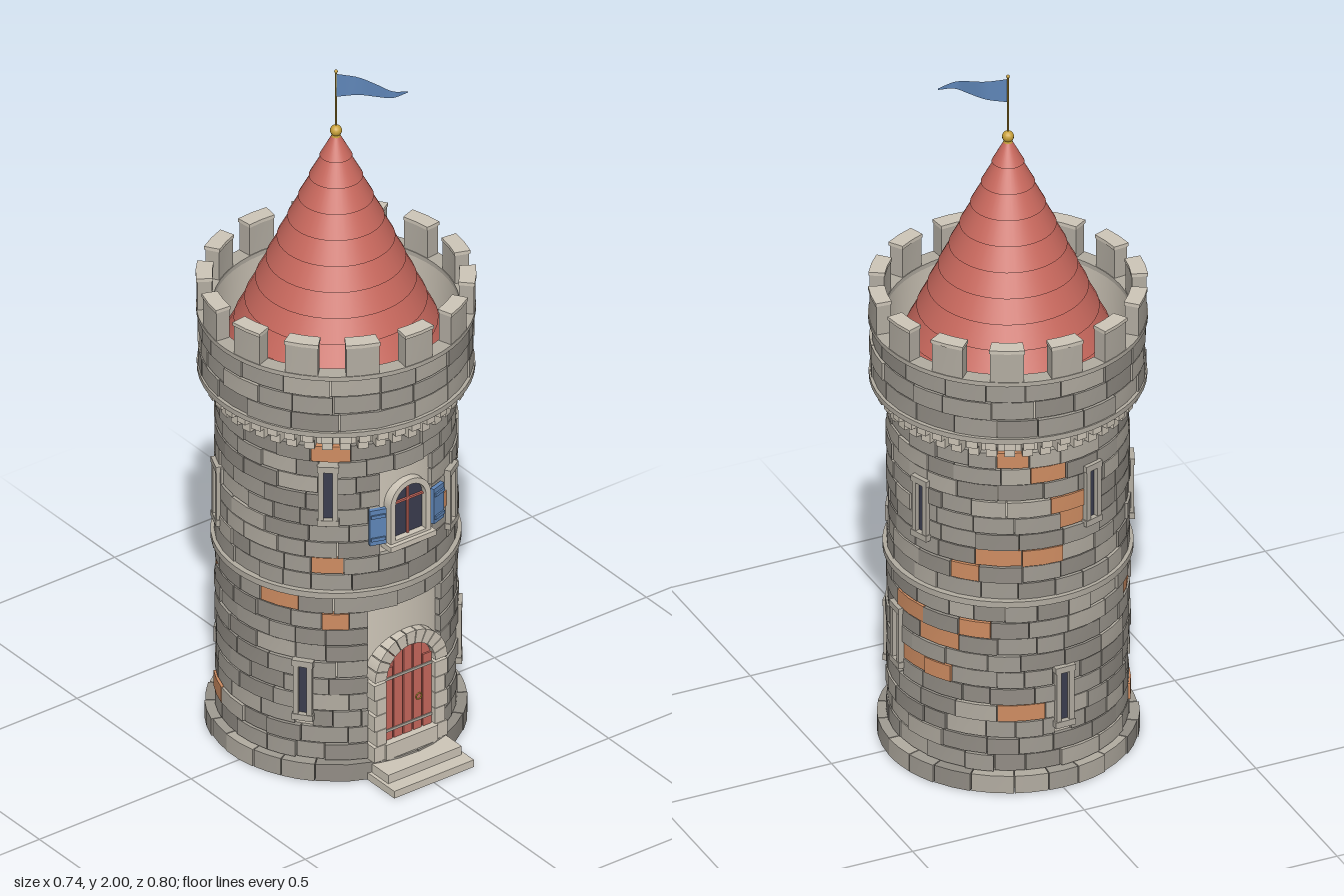
import * as THREE from 'three';
import { mergeGeometries } from 'three/addons/utils/BufferGeometryUtils.js';

const mat = (name, color, side = THREE.FrontSide) => {
  const m = new THREE.MeshStandardMaterial({ color, side });
  m.name = name;
  return m;
};

// Small seeded random generator
let seed = 7;
const rnd = (a = 0, b = 1) => {
  seed = (seed * 16807) % 2147483647;
  return a + (b - a) * (seed / 2147483647);
};

// Box bent around the tower axis: radii r0..r1, angles a0..a1 (0 = front), heights y0..y1
function arcBlock(r0, r1, a0, a1, y0, y1, segs = 2) {
  const g = new THREE.BoxGeometry(1, 1, 1, segs, 1, 1);
  const p = g.attributes.position;
  for (let i = 0; i < p.count; i++) {
    const a = a0 + (p.getX(i) + 0.5) * (a1 - a0);
    const r = p.getZ(i) > 0 ? r1 : r0;
    p.setXYZ(i, r * Math.sin(a), y0 + (p.getY(i) + 0.5) * (y1 - y0), r * Math.cos(a));
  }
  g.computeVertexNormals();
  return g;
}
const ring = (r0, r1, y0, y1) => arcBlock(r0, r1, 0, Math.PI * 2, y0, y1, 56);

// Arched outline, open at the bottom corners
function archShape(w, y0, spring, Type = THREE.Shape) {
  const s = new Type();
  s.moveTo(-w, y0);
  s.lineTo(w, y0);
  s.lineTo(w, spring);
  s.absarc(0, spring, w, 0, Math.PI, false);
  s.lineTo(-w, y0);
  return s;
}
const extrude = (shape, depth) => new THREE.ExtrudeGeometry(shape, { depth, bevelEnabled: false, curveSegments: 14 });

export function createModel() {
  seed = 7;
  const M = {
    stone: mat('stone', 0xa19c93),
    stoneDark: mat('dark stone', 0x928d85),
    stoneLight: mat('light stone', 0xb2aca1),
    trim: mat('pale trim', 0xcec6b8, THREE.DoubleSide),
    brick: mat('orange brick', 0xcf8d62),
    red: mat('red', 0xc8685d),
    blue: mat('blue', 0x5f86b8, THREE.DoubleSide),
    dark: mat('dark glass', 0x3b3d4f),
    gold: mat('gold', 0xc9a23a),
  };
  const model = new THREE.Group();
  const tower = new THREE.Group();
  tower.name = 'tower';
  tower.position.z = -0.03;
  model.add(tower);
  const add = (name, geo, m, parent = tower) => {
    const mesh = new THREE.Mesh(geo, m);
    mesh.name = name;
    parent.add(mesh);
    return mesh;
  };
  const box = (name, w, h, d, x, y, z, m, parent) => {
    const b = add(name, new THREE.BoxGeometry(w, h, d), m, parent);
    b.position.set(x, y, z);
    return b;
  };
  const rad = THREE.MathUtils.degToRad;

  // Hollow wall core, open at the bottom
  add('wallCore', new THREE.CylinderGeometry(0.306, 0.306, 1.06, 56, 1, true).translate(0, 0.53, 0), M.trim);

  // Narrow windows: [angle in degrees, centre height]
  const slits = [[-40.6, 0.88], [32.7, 0.75], [-52.5, 0.27], [51.5, 0.27], [90, 0.37],
    [109.5, 0.81], [198, 0.86], [247, 0.74], [182, 0.27]];
  // Areas kept free of stones: angle, half angle, bottom, top
  const gaps = [[0, 0.375, 0, 0.49], [0, 0.27, 0.69, 0.95],
    ...slits.map(([a, y]) => [rad(a), 0.075, y - 0.09, y + 0.09])];
  // Places where a brick shows among the stones
  const bricks = [[104, 0.46], [105, 0.34], [126, 0.41], [122, 0.33], [150, 0.24], [136, 0.66], [160, 0.99],
    [-49, 0.66], [-33, 0.465], [-57, 0.52], [172, 0.95], [172, 0.71], [187, 0.78], [229, 0.5], [248, 0.13],
    [143, 0.71], [134, 0.46], [186, 0.87], [19, 0.77], [-35, 1.0]];

  // Courses of stones, sorted by colour
  const stones = { stone: [], stoneDark: [], stoneLight: [], brick: [] };
  function course(y0, y1, r0, r1, wMin, wMax, cut) {
    const mid = (y0 + y1) / 2, start = rnd(-0.3, 0), end = start + Math.PI * 2;
    let a = start;
    while (a < end - 0.001) {
      let b = a + rnd(wMin, wMax) / r1;
      if (end - b < wMin / r1) b = end;
      let pieces = [[a, b]];
      if (cut) for (const [c, h, lo, hi] of gaps) {
        if (mid < lo || mid > hi) continue;
        for (const k of [-1, 0, 1]) {
          const g0 = c - h + k * Math.PI * 2, g1 = c + h + k * Math.PI * 2;
          pieces = pieces.flatMap(([p, q]) => (q <= g0 || p >= g1 ? [[p, q]] : [[p, g0], [g1, q]].filter(([s, t]) => t > s)));
        }
      }
      const isBrick = cut && bricks.some(([d, y]) => y >= y0 && y < y1
        && [0, 1].some((k) => rad(d) + k * Math.PI * 2 >= a && rad(d) + k * Math.PI * 2 < b));
      const pick = rnd();
      const key = isBrick ? 'brick' : pick < 0.55 ? 'stone' : pick < 0.82 ? 'stoneDark' : 'stoneLight';
      const out = r1 + rnd(-0.004, 0.004);
      for (const [p, q] of pieces) {
        if (q - p > 0.02) stones[key].push(arcBlock(r0, out, p + 0.004, q - 0.004, y0 + 0.0015, y1 - 0.0015));
      }
      a = b;
    }
  }
  course(0, 0.055, 0.305, 0.344, 0.08, 0.12, false);
  for (let i = 0; i < 10; i++) course(0.055 + i * 0.0505, 0.055 + (i + 1) * 0.0505, 0.303, 0.32, 0.07, 0.13, true);
  for (let i = 0; i < 9; i++) course(0.58 + i * 0.05, 0.58 + (i + 1) * 0.05, 0.303, 0.32, 0.07, 0.13, true);
  for (let i = 0; i < 3; i++) course(1.1 + i * 0.054, 1.1 + (i + 1) * 0.054, 0.335, 0.362, 0.09, 0.14, false);
  for (const key in stones) add(key + 'Blocks', mergeGeometries(stones[key]), M[key]);

  // Horizontal bands
  add('middleBand', ring(0.304, 0.331, 0.562, 0.58), M.stoneLight);
  add('corbelBand', ring(0.304, 0.367, 1.085, 1.1), M.stoneLight);
  add('parapetCore', ring(0.326, 0.354, 1.09, 1.262), M.trim);
  add('parapetCap', ring(0.326, 0.369, 1.262, 1.275), M.stoneLight);

  // Stepped corbels under the parapet
  const corbels = [];
  for (let i = 0; i < 44; i++) {
    const a = (i / 44) * Math.PI * 2, h = 0.042;
    corbels.push(arcBlock(0.3, 0.336, a - h, a + h, 1.028, 1.058, 1), arcBlock(0.3, 0.354, a - h, a + h, 1.058, 1.085, 1));
  }
  add('corbels', mergeGeometries(corbels), M.trim);

  // Battlements
  const merlons = [], caps = [];
  for (let i = 0; i < 14; i++) {
    const a = (i / 14) * Math.PI * 2;
    merlons.push(arcBlock(0.328, 0.367, a - 0.122, a + 0.122, 1.275, 1.362));
    caps.push(arcBlock(0.326, 0.37, a - 0.127, a + 0.127, 1.362, 1.372));
  }
  add('merlons', mergeGeometries(merlons), M.stoneLight);
  add('merlonCaps', mergeGeometries(caps), M.trim);

  // Roof of overlapping conical rows
  const roof = new THREE.Group();
  roof.name = 'roof';
  tower.add(roof);
  const roofR = (y) => 0.01 + (1.8 - y) * 0.45, rowH = 0.063;
  for (let i = 0; i < 11; i++) {
    const top = 1.8 - i * rowH, low = top - rowH;
    add('roofRow', new THREE.CylinderGeometry(roofR(top), roofR(low) + 0.005, rowH, 40).translate(0, (top + low) / 2, 0), M.red, roof);
  }
  add('finialCollar', new THREE.CylinderGeometry(0.011, 0.014, 0.016, 12).translate(0, 1.797, 0), M.gold);
  add('finialBall', new THREE.SphereGeometry(0.016, 14, 10).translate(0, 1.812, 0), M.gold);

  // Pole and waving pennant
  add('flagPole', new THREE.CylinderGeometry(0.002, 0.002, 0.18, 6).translate(0, 1.905, 0), M.gold);
  add('poleTip', new THREE.SphereGeometry(0.005, 8, 6).translate(0, 1.995, 0), M.gold);
  const wave = new THREE.CatmullRomCurve3([[0, 0], [0.05, 0.033], [0.08, 0.075], [0.105, 0.108], [0.15, 0.115]]
    .map(([x, z]) => new THREE.Vector3(x, 0, z)));
  const flag = new THREE.PlaneGeometry(1, 1, 14, 1);
  const fp = flag.attributes.position;
  for (let i = 0; i < fp.count; i++) {
    const t = fp.getX(i) + 0.5, q = wave.getPoint(t);
    fp.setXYZ(i, q.x, fp.getY(i) > 0 ? 1.987 - 0.053 * t : 1.916 + 0.014 * t, q.z);
  }
  flag.computeVertexNormals();
  add('pennant', flag, M.blue);

  // Narrow windows with stone frames
  for (const [deg, y] of slits) {
    const g = new THREE.Group();
    g.name = 'slitWindow';
    g.position.y = y;
    g.rotation.y = rad(deg);
    tower.add(g);
    box('slitPane', 0.03, 0.15, 0.022, 0, 0, 0.307, M.dark, g);
    for (const s of [-1, 1]) {
      box('slitJamb', 0.014, 0.15, 0.034, s * 0.019, 0, 0.314, M.stoneLight, g);
      box('slitLintel', 0.058, 0.018, 0.038, 0, s * 0.083, 0.314, M.stoneLight, g);
    }
  }

  // Door: dark recess, planks, iron straps and handle
  const door = new THREE.Group();
  door.name = 'door';
  tower.add(door);
  add('doorRecess', extrude(archShape(0.085, 0.06, 0.3), 0.03).translate(0, 0, 0.268), M.dark, door);
  add('doorLeaf', extrude(archShape(0.08, 0.1, 0.3), 0.012).translate(0, 0, 0.298), M.red, door);
  for (let i = 0; i < 5; i++) {
    const x = (i - 2) * 0.032, top = 0.3 + Math.sqrt(0.08 ** 2 - (Math.abs(x) + 0.013) ** 2);
    box('doorPlank', 0.027, top - 0.1, 0.006, x, (top + 0.1) / 2, 0.312, M.red, door);
  }
  for (const y of [0.13, 0.29]) box('doorStrap', 0.156, 0.008, 0.004, 0, y, 0.316, M.stoneLight, door);
  add('doorHandle', new THREE.TorusGeometry(0.009, 0.002, 6, 14).translate(0.035, 0.2, 0.317), M.gold, door);
  // Jamb blocks and arch stones
  for (const s of [-1, 1]) for (let i = 0; i < 5; i++) {
    const w = i % 2 ? 0.032 : 0.04;
    box('doorJamb', w, 0.046, 0.05, s * (0.08 + w / 2), 0.077 + i * 0.048, 0.303, M.trim, door);
  }
  for (let i = 0; i < 11; i++) {
    const a = Math.PI * i / 11 + 0.012, b = Math.PI * (i + 1) / 11 - 0.012;
    const s = new THREE.Shape();
    s.absarc(0, 0, 0.119, a, b, false);
    s.absarc(0, 0, 0.08, b, a, true);
    add('archStone', extrude(s, 0.05).translate(0, 0.3, 0.28), M.trim, door);
  }
  box('threshold', 0.17, 0.048, 0.06, 0, 0.076, 0.305, M.trim, door);
  box('lowerStep', 0.262, 0.022, 0.13, 0, 0.011, 0.365, M.trim, door);
  box('upperStep', 0.242, 0.026, 0.09, 0, 0.035, 0.345, M.trim, door);

  // Arched window with glazing bars, sill and shutters
  const win = new THREE.Group();
  win.name = 'archedWindow';
  tower.add(win);
  const frame = archShape(0.066, 0.71, 0.826);
  frame.holes.push(archShape(0.05, 0.72, 0.826, THREE.Path));
  add('windowFrame', extrude(frame, 0.036).translate(0, 0, 0.292), M.trim, win);
  add('windowGlass', extrude(archShape(0.05, 0.72, 0.826), 0.02).translate(0, 0, 0.29), M.dark, win);
  box('uprightBar', 0.006, 0.154, 0.006, 0, 0.797, 0.313, M.red, win);
  box('crossBar', 0.1, 0.006, 0.006, 0, 0.826, 0.313, M.red, win);
  box('windowSill', 0.15, 0.016, 0.05, 0, 0.704, 0.315, M.trim, win);
  for (const s of [-1, 1]) {
    const g = new THREE.Group();
    g.name = 'shutter';
    g.rotation.y = s * 0.305;
    win.add(g);
    box('shutterPanel', 0.046, 0.108, 0.012, 0, 0.775, 0.328, M.blue, g);
    for (const y of [0.74, 0.81]) box('shutterBatten', 0.04, 0.01, 0.005, 0, y, 0.336, M.blue, g);
  }
  return model;
}
